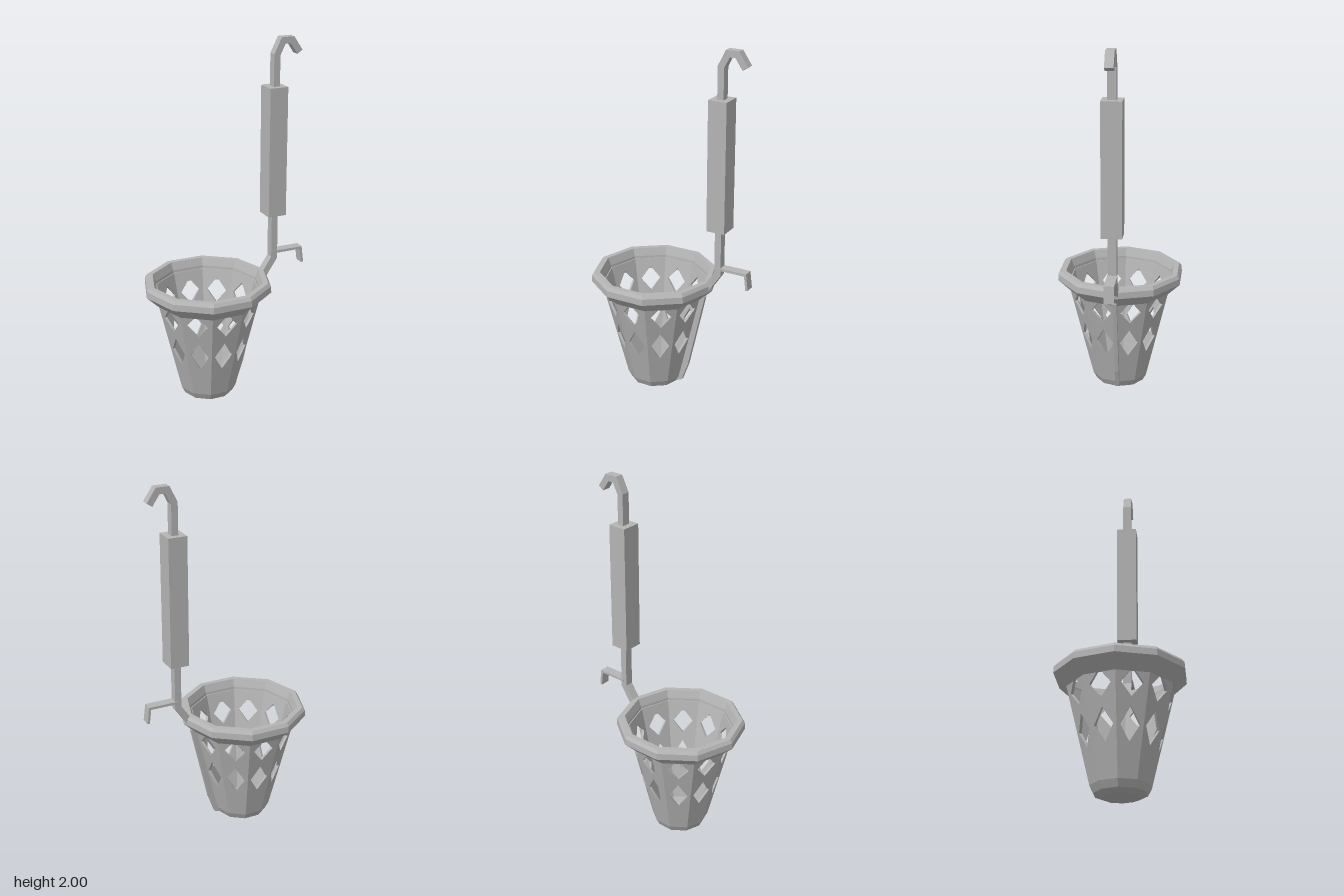
import * as THREE from 'three';

const SIDES = 10;
const CX = -0.115; // basket axis

export function createModel() {
  const model = new THREE.Group();
  model.name = 'hangingBasket';
  const grey = new THREE.MeshStandardMaterial({ color: 0xb4b4b4 });
  grey.name = 'grey';

  const add = (parent, name, geometry) => {
    const flat = geometry.index ? geometry.toNonIndexed() : geometry;
    flat.computeVertexNormals();
    const mesh = new THREE.Mesh(flat, grey);
    mesh.name = name;
    parent.add(mesh);
    return mesh;
  };
  const vectors = (pts) => pts.map(([x, y]) => new THREE.Vector2(x, y));

  // Ten-sided turned part
  const turned = (pts) => new THREE.LatheGeometry(vectors(pts), SIDES, Math.PI / SIDES);

  // Flat outline in x/y, given a depth centred on z = 0
  const slab = (pts, depth) => {
    const g = new THREE.ExtrudeGeometry(new THREE.Shape(vectors(pts)), { depth, bevelEnabled: false });
    return g.translate(0, 0, -depth / 2);
  };

  // Bent bar with mitred corners along a path in x/y
  const bar = (path, width, depth) => {
    const p = vectors(path);
    const left = [], right = [];
    p.forEach((q, i) => {
      const a = q.clone().sub(p[Math.max(i - 1, 0)]).normalize();
      const b = p[Math.min(i + 1, p.length - 1)].clone().sub(q).normalize();
      const t = a.clone().add(b).normalize();
      const ref = i === 0 ? b : a;
      const h = width / 2 / t.dot(ref);
      left.push([q.x - t.y * h, q.y + t.x * h]);
      right.unshift([q.x + t.y * h, q.y - t.x * h]);
    });
    return slab([...left, ...right], depth);
  };

  const basket = new THREE.Group();
  basket.name = 'basket';
  basket.position.x = CX;
  model.add(basket);

  // Tapered wall panels with two diamond openings each
  const y0 = 0.06, y1 = 0.64, thick = 0.015;
  const radius = (y) => 0.16 + (y - y0) * 0.245;
  const half = Math.PI / SIDES;
  const w0 = radius(y0) * Math.sin(half), w1 = radius(y1) * Math.sin(half);
  const panel = new THREE.Shape(vectors([[-w0, y0], [w0, y0], [w1, y1], [-w1, y1]]));
  for (const [y, w, h] of [[0.322, 0.052, 0.086], [0.525, 0.059, 0.071]]) {
    panel.holes.push(new THREE.Path(vectors([[0, y - h], [-w, y], [0, y + h], [w, y]])));
  }
  const panelGeo = new THREE.ExtrudeGeometry(panel, { depth: 1, bevelEnabled: false });
  const pos = panelGeo.attributes.position;
  for (let i = 0; i < pos.count; i++) {
    const y = pos.getY(i);
    const outer = radius(y);
    const r = outer - (1 - pos.getZ(i)) * thick;
    pos.setXYZ(i, pos.getX(i) * r / outer, y, r * Math.cos(half));
  }
  for (let k = 0; k < SIDES; k++) {
    add(basket, 'wallPanel', panelGeo).rotation.y = k * 2 * half;
  }

  // Rounded base and flared rim
  add(basket, 'base', turned([
    [0, 0.005], [0.1, 0.005], [0.14, 0.022], [0.16, y0],
    [0.145, y0], [0.125, 0.034], [0.098, 0.018], [0, 0.018],
  ]));
  add(basket, 'rim', turned([
    [0.286, 0.577], [0.357, 0.645], [0.355, 0.68], [0.341, 0.698],
    [0.311, 0.698], [0.294, 0.655], [0.286, 0.577],
  ]));

  // Strut down the side and under the base
  add(model, 'supportStrut', slab([
    [0.17, 0.62], [0.037, 0.06], [0.002, 0.022], [-0.03, 0.022], [-0.03, 0.007],
    [0.02, 0.025], [0.06, 0.04], [0.1, 0.15], [0.203, 0.6],
  ], 0.022));

  // Upright handle with grip and hook
  add(model, 'lowerRod', bar([[0.2, 0.64], [0.284, 0.765], [0.284, 1.03]], 0.037, 0.047));
  add(model, 'grip', new THREE.BoxGeometry(0.105, 0.72, 0.111).translate(0.283, 1.38, 0));
  add(model, 'topHook', bar(
    [[0.284, 1.73], [0.284, 1.91], [0.32, 1.982], [0.373, 1.982], [0.418, 1.915]], 0.036, 0.047));

  // Small side catch
  add(model, 'sideCatch', bar([[0.285, 0.798], [0.45, 0.798], [0.461, 0.71]], 0.014, 0.054));

  return model;
}
